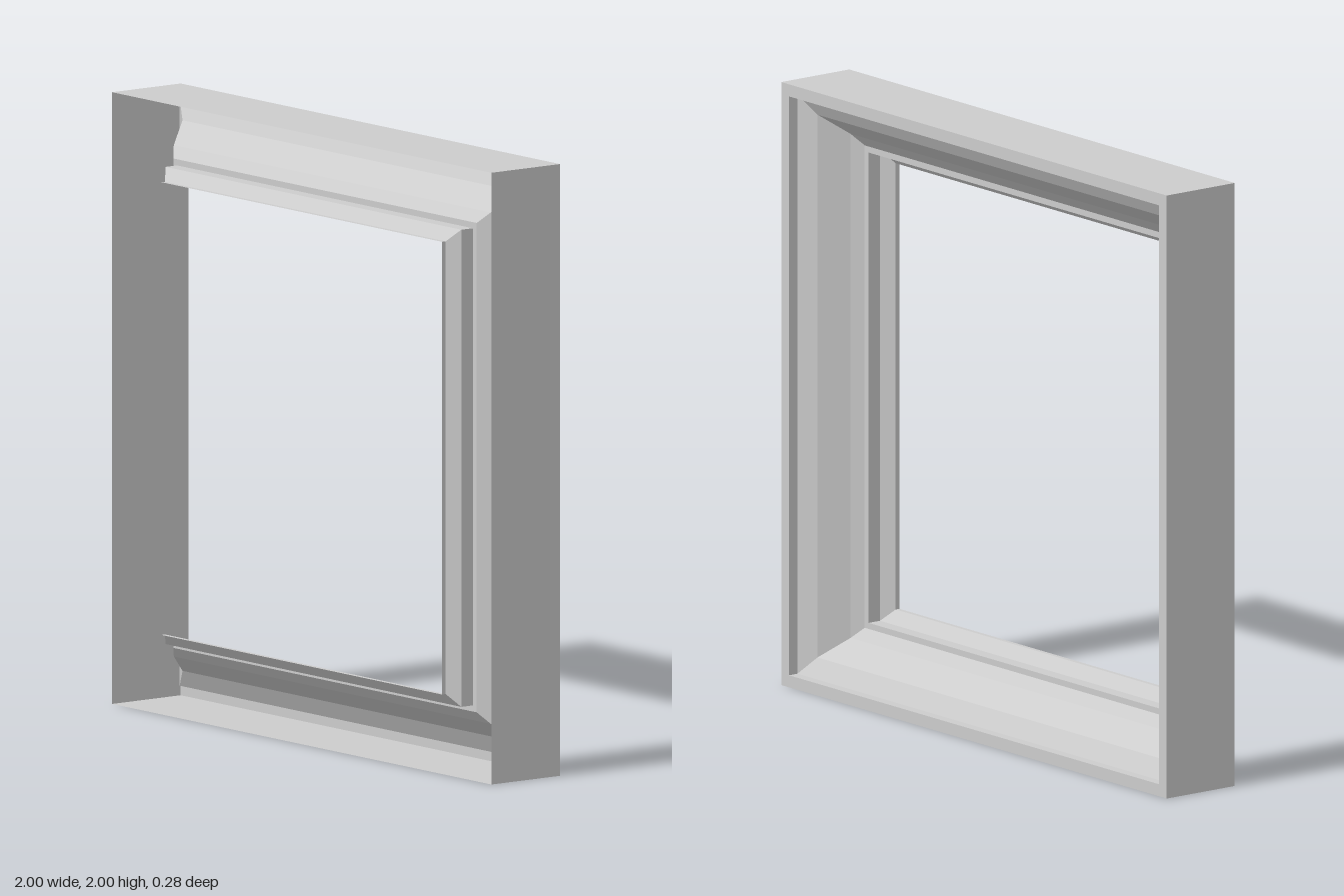
import * as THREE from 'three';

// Square frame pressed from one thin sheet: the front is open, the moulding rises
// from the back rim towards the front. Profile points are [half width, z].
const PARTS = {
  outerWall: [[1, 0.14], [1, -0.14]],
  backRim: [[1, -0.14], [0.96, -0.14]],
  moulding: [[0.96, -0.14], [0.96, -0.105], [0.9, -0.07], [0.836, 0.015], [0.8, 0.045]],
  innerStep: [[0.8, 0.045], [0.78, 0.045], [0.78, 0.092]],
  innerBevel: [[0.78, 0.092], [0.74, 0.125]],
  innerLip: [[0.74, 0.125], [0.74, 0.14]],
};

// Sweeps a profile around the square with mitred corners and hard edges
function sweepSquare(profile) {
  const positions = [];
  for (let side = 0; side < 4; side++) {
    const c = Math.round(Math.cos(side * Math.PI / 2));
    const s = Math.round(Math.sin(side * Math.PI / 2));
    const corner = ([h, z], end) => [c * h - s * h * end, s * h + c * h * end, z];
    for (let i = 0; i < profile.length - 1; i++) {
      const a = corner(profile[i], -1);
      const b = corner(profile[i], 1);
      const d = corner(profile[i + 1], -1);
      const e = corner(profile[i + 1], 1);
      positions.push(...a, ...d, ...e, ...a, ...e, ...b);
    }
  }
  const geometry = new THREE.BufferGeometry();
  geometry.setAttribute('position', new THREE.Float32BufferAttribute(positions, 3));
  geometry.computeVertexNormals();
  return geometry;
}

export function createModel() {
  const model = new THREE.Group();
  model.name = 'squareFrame';

  const grey = new THREE.MeshStandardMaterial({ color: 0xcccccc, side: THREE.DoubleSide });
  grey.name = 'lightGrey';

  for (const [name, profile] of Object.entries(PARTS)) {
    const mesh = new THREE.Mesh(sweepSquare(profile), grey);
    mesh.name = name;
    mesh.position.y = 1;
    model.add(mesh);
  }
  return model;
}
